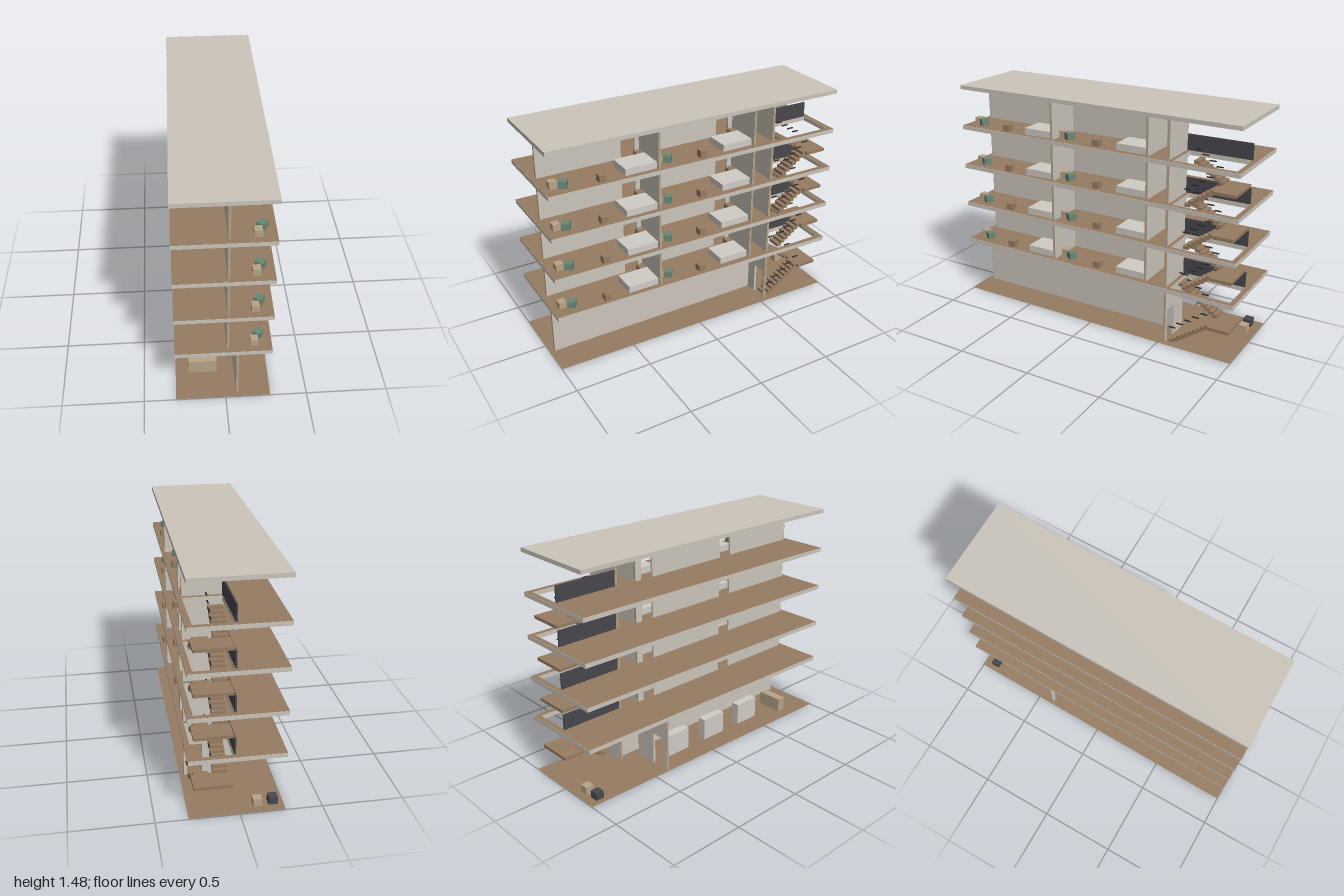
import * as THREE from 'three';

const mat = (name, color) => {
  const m = new THREE.MeshStandardMaterial({ color });
  m.name = name;
  return m;
};

export function createModel() {
  const plaster = mat('plaster', 0xcbc5bb);
  const wood = mat('wood floor', 0x967c62);
  const tan = mat('light wood', 0xb8a488);
  const linen = mat('linen', 0xd0ccc6);
  const charcoal = mat('charcoal', 0x48474c);
  const green = mat('green fabric', 0x6b8775);
  const black = mat('black metal', 0x2a2a2c);
  wood.side = THREE.DoubleSide;

  const model = new THREE.Group();
  model.name = 'building';

  const FLOOR = 0.387, STOREY = 0.2733, SLAB = 0.026;
  const levels = [0, 1, 2, 3, 4].map((i) => FLOOR + i * STOREY);

  // Box given by its minimum and maximum corners
  function box(parent, name, material, x0, x1, y0, y1, z0, z1) {
    const mesh = new THREE.Mesh(new THREE.BoxGeometry(x1 - x0, y1 - y0, z1 - z0), material);
    mesh.position.set((x0 + x1) / 2, (y0 + y1) / 2, (z0 + z1) / 2);
    mesh.name = name;
    parent.add(mesh);
    return mesh;
  }

  // Wall with door openings reaching the floor; u runs along z or along x, the ends are light wood
  function wall(parent, name, axis, u0, u1, v0, v1, y0, y1, doors = []) {
    const s = new THREE.Shape();
    s.moveTo(u0, y0);
    for (const [a, b, h] of doors) {
      s.lineTo(a, y0);
      s.lineTo(a, y0 + h);
      s.lineTo(b, y0 + h);
      s.lineTo(b, y0);
    }
    s.lineTo(u1, y0);
    s.lineTo(u1, y1);
    s.lineTo(u0, y1);
    s.closePath();
    const g = new THREE.ExtrudeGeometry(s, { depth: v1 - v0, bevelEnabled: false });
    if (axis === 'z') g.rotateY(-Math.PI / 2).translate(v1, 0, 0);
    else g.translate(0, 0, v0);
    const mesh = new THREE.Mesh(g, plaster);
    mesh.name = name;
    parent.add(mesh);
    // edge strips
    const t = 0.002;
    for (const [a, b] of [[u0 - t, u0], [u1, u1 + t]]) {
      if (axis === 'z') box(parent, name + ' edge', tan, v0, v1, y0, y1, a, b);
      else box(parent, name + ' edge', tan, a, b, y0, y1, v0, v1);
    }
  }

  // Skewed floor plate, with an optional stair opening
  function plateShape(opening) {
    const s = new THREE.Shape([[-0.305, -1], [0.275, -1], [0.305, 1], [-0.275, 1]]
      .map(([x, y]) => new THREE.Vector2(x, y)));
    if (opening) {
      s.holes.push(new THREE.Path([[0.035, 0.57], [0.035, 0.967], [0.27, 0.967], [0.27, 0.57]]
        .map(([x, y]) => new THREE.Vector2(x, y))));
    }
    return s;
  }
  function flat(name, y, opening) {
    const m = new THREE.Mesh(new THREE.ShapeGeometry(plateShape(opening)).rotateX(-Math.PI / 2), wood);
    m.position.y = y;
    m.name = name;
    model.add(m);
  }

  // Slabs, floor finish and roof
  flat('groundFloor', 0.001, false);
  levels.forEach((y, i) => {
    const roof = i === 4;
    const g = new THREE.ExtrudeGeometry(plateShape(!roof), { depth: SLAB, bevelEnabled: false });
    const slab = new THREE.Mesh(g.rotateX(-Math.PI / 2), plaster);
    slab.position.y = y - SLAB;
    slab.name = roof ? 'roof' : 'floorSlab';
    model.add(slab);
    if (!roof) flat('floorFinish', y + 0.0015, true);
  });

  // Ground storey walls
  const ground = new THREE.Group();
  ground.name = 'groundStorey';
  model.add(ground);
  const G = FLOOR - SLAB;
  wall(ground, 'groundLongWall', 'z', -0.53, 0.968, 0.065, 0.08, 0, G);
  wall(ground, 'groundLeftCrossWall', 'x', 0.026, 0.268, -0.545, -0.53, 0, G, [[0.155, 0.25, 0.218]]);
  wall(ground, 'groundRightCrossWall', 'x', -0.27, 0.008, -0.403, -0.388, 0, G, [[-0.235, -0.14, 0.218]]);

  // Ground storey furniture
  box(ground, 'receptionCounter', tan, -0.22, -0.042, 0, 0.095, 0.73, 0.79);
  for (const z of [0.465, 0.138, -0.19]) box(ground, 'cabinet', linen, -0.15, -0.094, 0, 0.15, z - 0.09, z + 0.09);
  box(ground, 'tanBin', tan, -0.145, -0.09, 0, 0.05, -0.948, -0.893);
  box(ground, 'darkBin', charcoal, -0.24, -0.185, 0, 0.05, -0.943, -0.888);

  // Furniture of one room; z is the offset from the front room
  function room(parent, y, z) {
    const h = y + 0.045;
    box(parent, 'bed', linen, 0.092, 0.25, y, h, z + 0.297, z + 0.505);
    box(parent, 'nightstand', wood, 0.035, 0.082, y, h, z + 0.298, z + 0.345);
    box(parent, 'stool', wood, 0.212, 0.258, y, h, z + 0.63, z + 0.675);
    box(parent, 'sideTable', tan, 0.147, 0.194, y, h, z + 0.908, z + 0.956);
    const chair = box(parent, 'armchair', green, 0.172, 0.222, y, h, z + 0.85, z + 0.9);
    chair.rotation.y = 0.98;
  }

  // Upper storeys
  for (let i = 0; i < 4; i++) {
    const storey = new THREE.Group();
    storey.name = 'upperStorey';
    model.add(storey);
    const y = levels[i], top = levels[i + 1] - SLAB;
    wall(storey, 'longWall', 'z', -0.4, 0.968, 0.006, 0.02, y, top,
      [[-0.355, -0.265, 0.218], [0.325, 0.42, 0.218]]);
    for (const z of [0.28, -0.403, -0.545]) wall(storey, 'crossWall', 'x', 0.022, 0.268, z, z + 0.015, y, top);
    room(storey, y, 0);
    room(storey, y, -0.68);
    box(storey, 'stairGuard', charcoal, 0.022, 0.032, y, y + 0.103, -0.967, -0.547);
  }

  // One straight flight: dir -1 climbs to the back, +1 climbs to the front
  function flight(parent, x, y0, y1, zStart, dir, n, bars, railX) {
    const rise = (y1 - y0) / n, run = 0.0265;
    for (let k = 0; k < n; k++) {
      const z = zStart + dir * run * (k + 0.5), y = y0 + rise * (k + 1);
      box(parent, 'step', wood, x, x + 0.09, y - 0.022, y, z - 0.017, z + 0.017);
    }
    // handrail pieces
    for (let k = 0; k < bars; k++) {
      const t = (k + 0.4) / bars;
      const z = zStart + dir * run * n * t, y = y0 + (y1 - y0) * t + 0.098;
      box(parent, 'handrail', black, railX - 0.004, railX + 0.004, y - 0.003, y + 0.003, z - 0.022, z + 0.022);
    }
  }

  // Stairs from the ground to the top floor
  for (let i = 0; i < 4; i++) {
    const stair = new THREE.Group();
    stair.name = 'staircase';
    model.add(stair);
    const y0 = i ? levels[i - 1] : 0, y1 = levels[i];
    const mid = y0 + (i ? 0.13 : 0.185), n = i ? 7 : 10, bars = i ? 4 : 5;
    flight(stair, 0.16, y0, mid, -0.83 + n * 0.0265, -1, n, bars, 0.258);
    flight(stair, 0.045, mid, y1 - 0.022, -0.83, 1, n, bars, 0.145);
    box(stair, 'landing', wood, 0.035, 0.268, mid - 0.02, mid, -0.967, -0.825);
  }

  return model;
}
